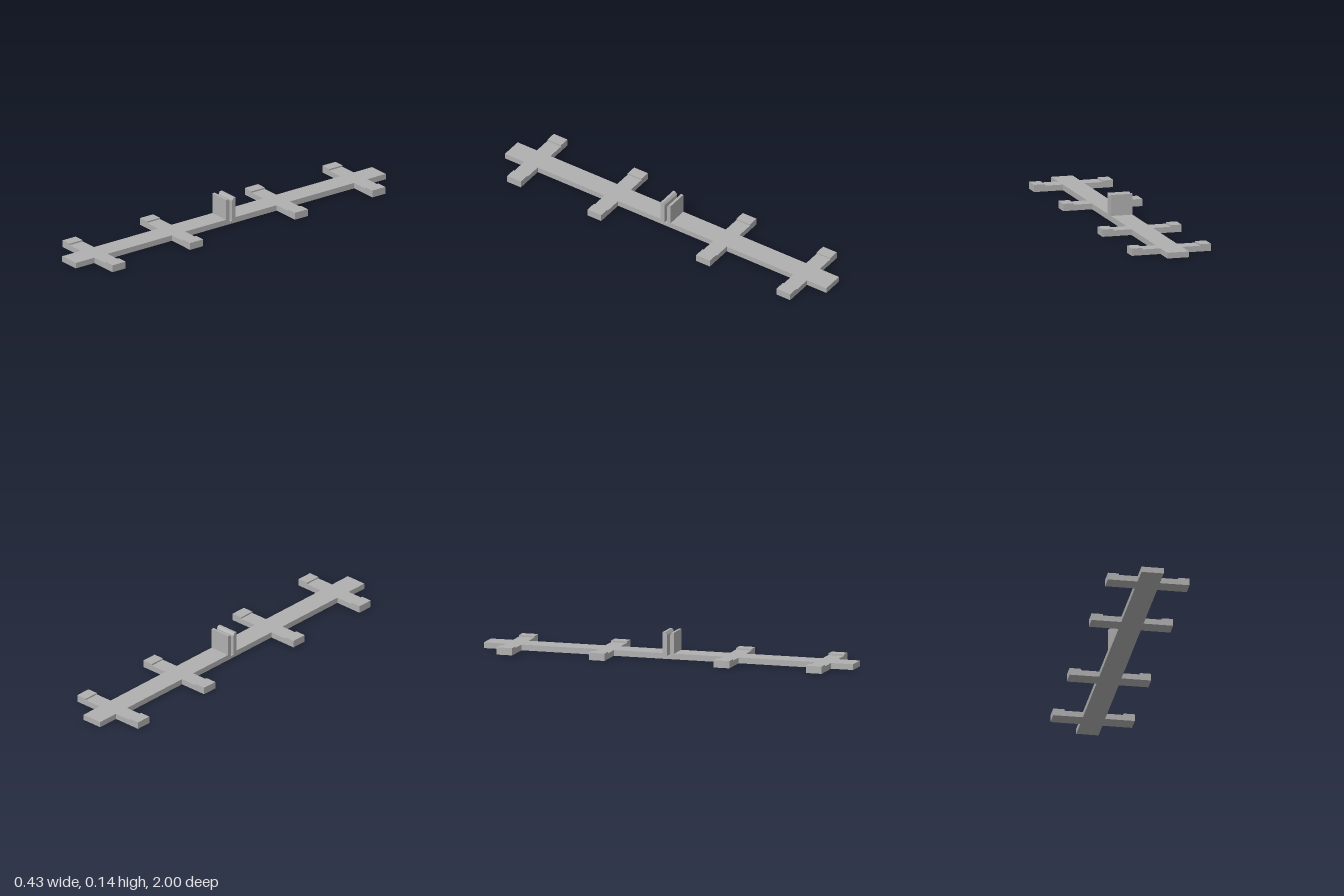
import * as THREE from 'three';

const HALF_WIDTH = 0.058;   // half width of the beam
const BEAM_TOP = 0.03;
const ARM_DEPTH = 0.085;

const grey = new THREE.MeshStandardMaterial({ color: 0xb0b0b0 });
grey.name = 'grey';

// Extrude a list of [x, y] points, centred on the extrusion axis
function extrude(points, depth) {
  const shape = new THREE.Shape(points.map(([x, y]) => new THREE.Vector2(x, y)));
  const geometry = new THREE.ExtrudeGeometry(shape, { depth, bevelEnabled: false });
  return geometry.translate(0, 0, -depth / 2);
}

function addPart(group, name, geometry) {
  const mesh = new THREE.Mesh(geometry, grey);
  mesh.name = name;
  group.add(mesh);
  return mesh;
}

export function createModel() {
  const model = new THREE.Group();
  model.name = 'crossBarStrip';

  // Long beam with the upright slotted clip in its middle: half of the side profile, mirrored
  const half = [
    [1, 0], [1, BEAM_TOP], [0.031, BEAM_TOP], [0.031, 0.14],
    [0.017, 0.14], [0.008, 0.126], [0.008, 0.015],
  ];
  const mirrored = half.map(([x, y]) => [-x, y]).reverse();
  const beam = extrude([...half, ...mirrored], HALF_WIDTH * 2);
  beam.rotateY(Math.PI / 2);
  addPart(model, 'beamWithClip', beam);

  // Four pairs of side arms with raised tips
  const tipStart = 0.154, tipEnd = 0.213, tipTop = 0.038;
  const profile = [
    [HALF_WIDTH, 0], [tipEnd, 0], [tipEnd, tipTop],
    [tipStart, tipTop], [tipStart, BEAM_TOP], [HALF_WIDTH, BEAM_TOP],
  ];
  for (const side of [1, -1]) {
    const arm = extrude(profile.map(([x, y]) => [side * x, y]), ARM_DEPTH);
    for (const z of [-0.838, -0.338, 0.338, 0.838]) {
      addPart(model, side > 0 ? 'leftArm' : 'rightArm', arm).position.z = z;
    }
  }

  return model;
}
